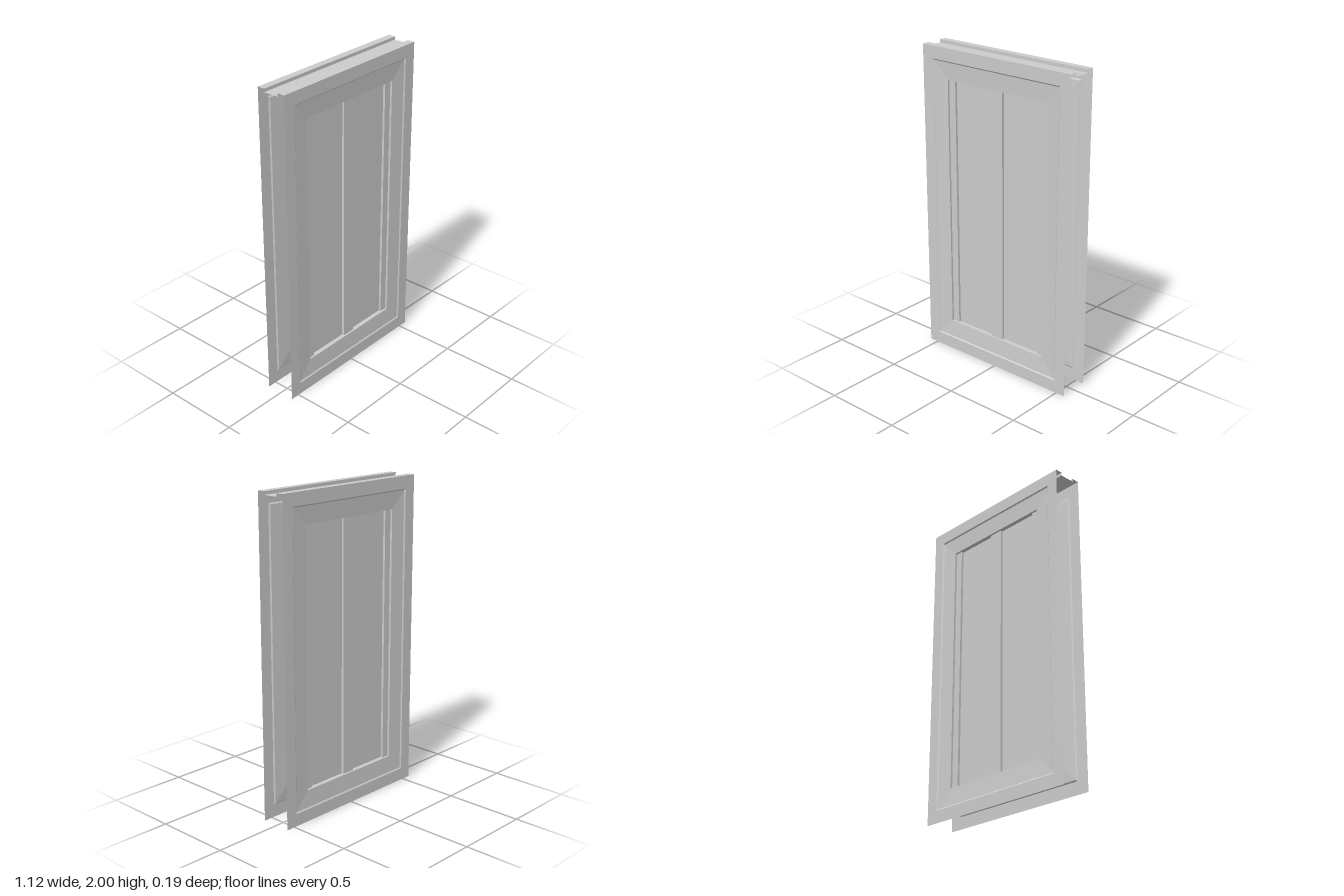
import * as THREE from 'three';

const material = new THREE.MeshStandardMaterial({
  color: 0xcccccc, flatShading: true, side: THREE.DoubleSide,
});

const FACE_Z = 0.0975;   // outer faces of the door
const PANEL_Z = 0.056;   // recessed panel
const STRIP_Z = 0.071;   // front of the raised strips
const HALF_W = 0.56;
const OPEN_W = 0.373, OPEN_H = 0.805;   // half size of the panel opening

function part(name, geometry) {
  const mesh = new THREE.Mesh(geometry, material);
  mesh.name = name;
  return mesh;
}

// Joins successive rectangles [halfWidth, halfHeight, z] with mitred corners
function mitredFrame(rings) {
  const positions = [], index = [];
  for (const [w, h, z] of rings) {
    positions.push(-w, 1 - h, z, w, 1 - h, z, w, 1 + h, z, -w, 1 + h, z);
  }
  for (let r = 0; r < rings.length - 1; r++) {
    for (let i = 0; i < 4; i++) {
      const a = r * 4 + i, b = r * 4 + (i + 1) % 4;
      index.push(a, b, b + 4, a, b + 4, a + 4);
    }
  }
  return finish(positions, index);
}

// Sweeps a [z, y] profile along x
function sweepX(profile, halfLength) {
  const positions = [], index = [];
  for (const [z, y] of profile) positions.push(-halfLength, y, z, halfLength, y, z);
  for (let i = 0; i < profile.length - 1; i++) {
    const a = i * 2;
    index.push(a, a + 1, a + 3, a, a + 3, a + 2);
  }
  return finish(positions, index);
}

function finish(positions, index) {
  const indexed = new THREE.BufferGeometry();
  indexed.setAttribute('position', new THREE.Float32BufferAttribute(positions, 3));
  indexed.setIndex(index);
  const geometry = indexed.toNonIndexed();
  geometry.computeVertexNormals();
  return geometry;
}

function createFace(name) {
  const face = new THREE.Group();
  face.name = name;

  // Flat border, small step, shallow bevel and the reveal down to the panel
  face.add(part('frame', mitredFrame([
    [HALF_W, 1, FACE_Z],
    [0.483, 0.921, FACE_Z],
    [0.475, 0.913, 0.091],
    [OPEN_W, OPEN_H, 0.084],
    [OPEN_W, OPEN_H, PANEL_Z],
  ])));

  // Recessed panel
  const panel = part('panel', new THREE.PlaneGeometry(OPEN_W * 2, OPEN_H * 2));
  panel.position.set(0, 1, PANEL_Z);
  face.add(panel);

  // Raised vertical strips: one at each side and one in the middle
  const depth = STRIP_Z - PANEL_Z - 0.0005;
  for (const [stripName, x, width] of [
    ['rightStrip', -0.349, 0.048], ['middleStrip', 0, 0.09], ['leftStrip', 0.349, 0.048],
  ]) {
    const strip = part(stripName, new THREE.BoxGeometry(width, OPEN_H * 2, depth));
    strip.position.set(x, 1, STRIP_Z - depth / 2);
    face.add(strip);
  }
  return face;
}

export function createModel() {
  const door = new THREE.Group();
  door.name = 'door';

  const front = createFace('frontFace');
  const back = createFace('backFace');
  back.rotation.y = Math.PI;

  // Top edge with a shallow channel; the other edges stay open
  const top = part('topEdge', sweepX([
    [FACE_Z, 2], [0.05, 2], [0.05, 1.98], [-0.05, 1.98], [-0.05, 2], [-FACE_Z, 2],
  ], HALF_W));

  door.add(front, back, top);
  return door;
}
